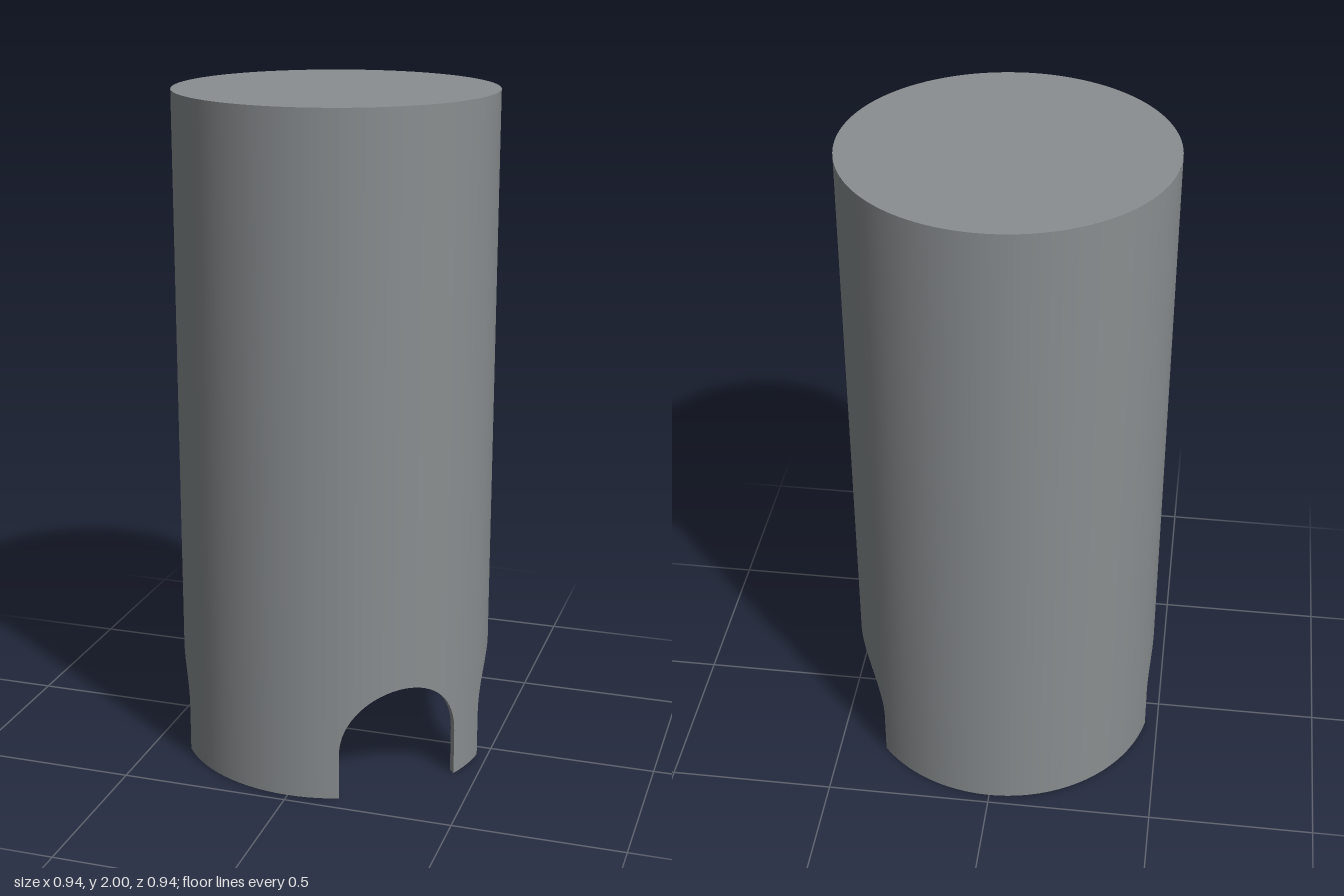
import * as THREE from 'three';
import { toCreasedNormals } from 'three/addons/utils/BufferGeometryUtils.js';

const R = 0.47, INNER = 0.45, TOP = 2, CEILING = 1.98;
const HALF = 0.189, SPRING = 0.14; // arch half width and height of its straight sides
const ARCHES = [42.3, 107.6, 282.4].map(THREE.MathUtils.degToRad); // angle from +z towards +x

const onCircle = (r, a, y) => [r * Math.sin(a), y, r * Math.cos(a)];

// Columns round the tube: outer angle, inner angle and height of the lower edge
function makeColumns() {
  const columns = [];
  const outHalf = Math.asin(HALF / R), inHalf = Math.asin(HALF / INNER);
  ARCHES.forEach((c, k) => {
    // arch, cut straight through the wall
    columns.push([c - outHalf, c - inHalf, 0]);
    for (let i = 0; i <= 32; i++) {
      const t = Math.PI * i / 32, u = -HALF * Math.cos(t);
      columns.push([c + Math.asin(u / R), c + Math.asin(u / INNER), SPRING + HALF * Math.sin(t)]);
    }
    // solid wall up to the next arch
    const next = k + 1 < ARCHES.length ? ARCHES[k + 1] : ARCHES[0] + Math.PI * 2;
    const steps = Math.ceil((next - c - 2 * outHalf) / 0.07);
    for (let i = 0; i < steps; i++) {
      const f = i / steps;
      columns.push([
        THREE.MathUtils.lerp(c + outHalf, next - outHalf, f),
        THREE.MathUtils.lerp(c + inHalf, next - inHalf, f), 0]);
    }
  });
  return columns;
}

// Closed band between two loops of points
function band(lower, upper) {
  const n = lower.length, index = [];
  for (let i = 0; i < n; i++) {
    const j = (i + 1) % n;
    index.push(i, j, n + j, i, n + j, n + i);
  }
  const g = new THREE.BufferGeometry();
  g.setAttribute('position', new THREE.Float32BufferAttribute([...lower, ...upper].flat(), 3));
  g.setIndex(index);
  g.computeVertexNormals();
  return g;
}

export function createModel() {
  const group = new THREE.Group();
  group.name = 'archedTube';
  const grey = new THREE.MeshStandardMaterial({ color: 0x8a8e90 });
  grey.name = 'grey';
  const add = (name, geometry) => {
    const mesh = new THREE.Mesh(geometry, grey);
    mesh.name = name;
    group.add(mesh);
    return mesh;
  };

  const columns = makeColumns();
  const outerLow = columns.map(([a, , y]) => onCircle(R, a, y));
  const outerTop = columns.map(([a]) => onCircle(R, a, TOP));
  const innerLow = columns.map(([, b, y]) => onCircle(INNER, b, y));
  const innerTop = columns.map(([, b]) => onCircle(INNER, b, CEILING));

  // walls and the lower rim with its arches
  add('outerWall', band(outerLow, outerTop));
  add('innerWall', band(innerTop, innerLow));
  add('archedRim', toCreasedNormals(band(innerLow, outerLow), 0.6));

  // closed top and its underside
  const lid = add('lid', new THREE.CircleGeometry(R, 128));
  lid.rotation.x = -Math.PI / 2;
  lid.position.y = TOP;
  const ceiling = add('ceiling', new THREE.CircleGeometry(INNER, 128));
  ceiling.rotation.x = Math.PI / 2;
  ceiling.position.y = CEILING;

  return group;
}
